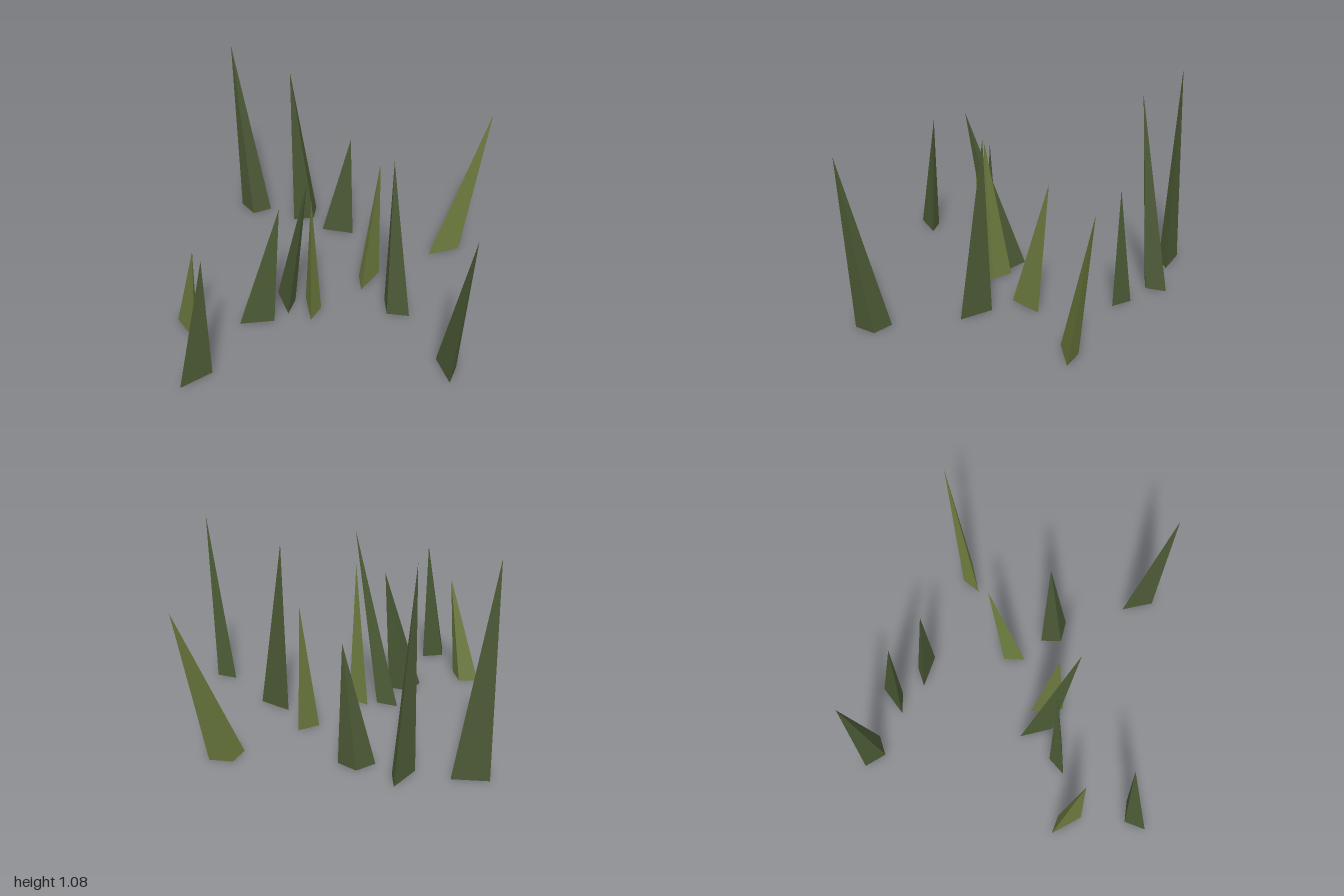
import * as THREE from 'three';

// Each blade: apex [x, y, z], three ground corners [x, z], and its green
const BLADES = [
  { apex: [0.20, 1.075, -0.945], base: [[0.227, -0.96], [0.313, -0.80], [0.21, -0.84]] },
  { apex: [0.30, 1.015, -0.588], base: [[0.34, -0.625], [0.517, -0.617], [0.43, -0.552]] },
  { apex: [0.487, 0.63, -0.31], base: [[0.39, -0.435], [0.495, -0.395], [0.485, -0.283]] },
  { apex: [-0.707, 0.57, -0.22], base: [[-0.733, -0.24], [-0.648, -0.325], [-0.70, -0.415]], light: true },
  { apex: [-0.814, 0.69, -0.012], base: [[-1.0, -0.02], [-0.90, -0.075], [-0.822, 0.01]] },
  { apex: [-0.29, 0.69, -0.052], base: [[-0.493, -0.16], [-0.38, -0.163], [-0.35, -0.05]] },
  { apex: [-0.26, 0.90, 0.115], base: [[-0.18, -0.205], [-0.157, -0.093], [-0.26, -0.04]] },
  { apex: [-0.175, 0.75, 0.055], base: [[-0.107, -0.065], [-0.105, 0.05], [-0.21, 0.08]], light: true },
  { apex: [0.355, 0.69, 0.03], base: [[0.153, 0.10], [0.227, 0.012], [0.33, 0.067]], light: true },
  { apex: [0.995, 0.815, 0.258], base: [[0.645, 0.16], [0.757, 0.14], [0.808, 0.245]], light: true },
  { apex: [0.168, 0.91, 0.283], base: [[0.18, 0.245], [0.175, 0.425], [0.106, 0.33]] },
  { apex: [-0.032, 0.90, 0.953], base: [[0.03, 0.73], [0.055, 0.84], [-0.05, 0.885]] },
];

// Leaning three-sided spike with a closed base and flat faces
function bladeGeometry(apex, base) {
  const [a, b, c] = base;
  const area = (b[0] - a[0]) * (c[1] - a[1]) - (b[1] - a[1]) * (c[0] - a[0]);
  const ring = (area > 0 ? [a, b, c] : [a, c, b]).map(([x, z]) => [x, 0, z]);
  const points = [...ring.flat()]; // underside, facing down
  for (let i = 0; i < 3; i++) {
    points.push(...ring[(i + 1) % 3], ...ring[i], ...apex);
  }
  const geometry = new THREE.BufferGeometry();
  geometry.setAttribute('position', new THREE.Float32BufferAttribute(points, 3));
  geometry.computeVertexNormals();
  return geometry;
}

export function createModel() {
  const darkGreen = new THREE.MeshStandardMaterial({ color: 0x4b5935 });
  darkGreen.name = 'darkGreen';
  const oliveGreen = new THREE.MeshStandardMaterial({ color: 0x6a793d });
  oliveGreen.name = 'oliveGreen';

  const group = new THREE.Group();
  group.name = 'grassTuft';
  BLADES.forEach(({ apex, base, light }, i) => {
    const blade = new THREE.Mesh(bladeGeometry(apex, base), light ? oliveGreen : darkGreen);
    blade.name = `grassBlade${i + 1}`;
    group.add(blade);
  });
  return group;
}
